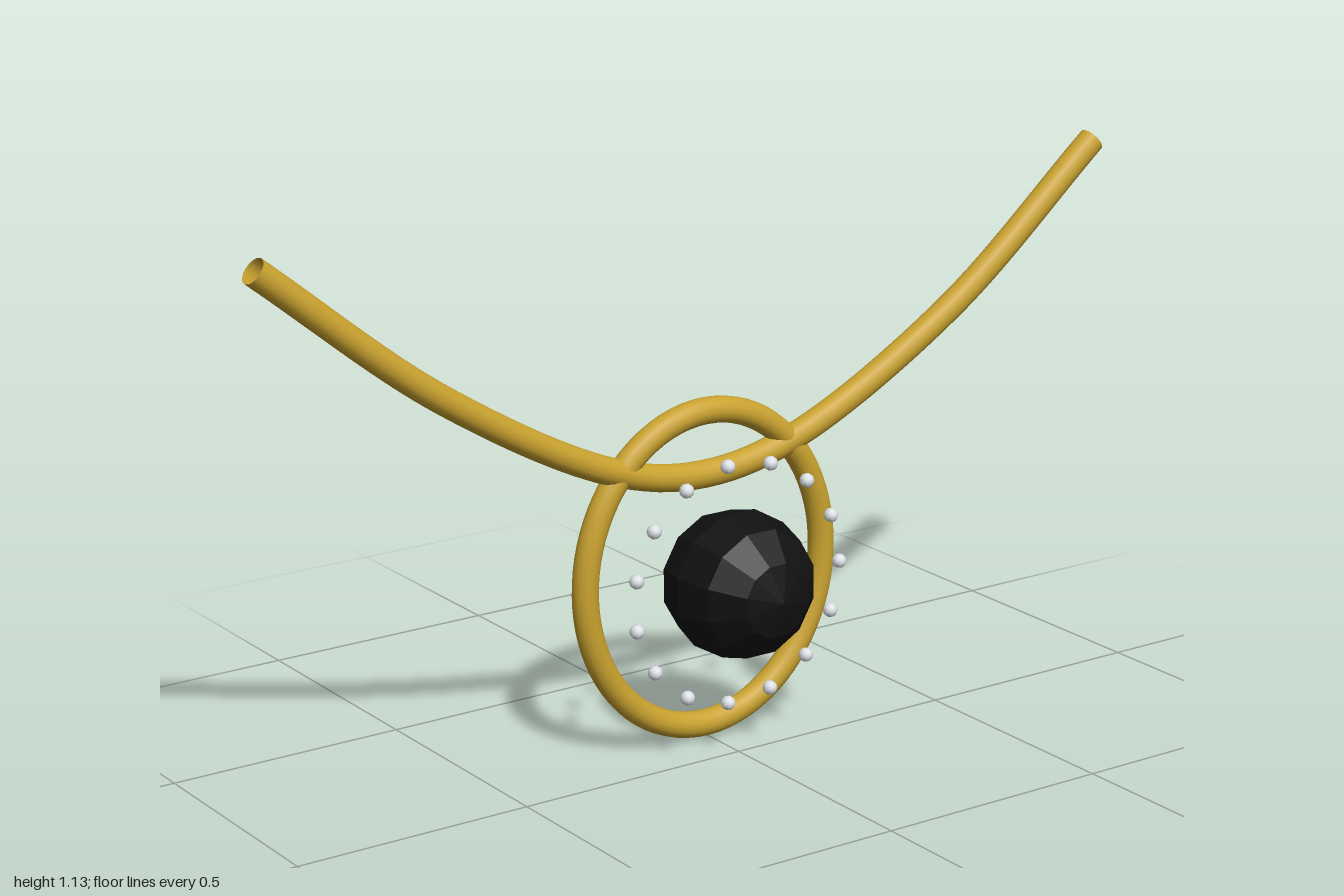
import * as THREE from 'three';

const GOLD = new THREE.MeshStandardMaterial({ color: 0xc9a22f, side: THREE.DoubleSide });
const BLACK = new THREE.MeshStandardMaterial({ color: 0x111111, flatShading: true });
const PEARL = new THREE.MeshStandardMaterial({ color: 0xdfe3e8 });

const CENTRE_Y = 0.355;

function add(parent, name, geometry, material) {
  const mesh = new THREE.Mesh(geometry, material);
  mesh.name = name;
  parent.add(mesh);
  return mesh;
}

// Closed oval path that the pendant frame follows
class Oval extends THREE.Curve {
  getPoint(t, target = new THREE.Vector3()) {
    const a = t * Math.PI * 2;
    return target.set(0.286 * Math.cos(a), 0.328 * Math.sin(a), 0);
  }
}

export function createModel() {
  const model = new THREE.Group();
  model.name = 'necklace';

  // Neck band: half a path mirrored across x, with open ends
  const half = [[0.982, 1.107, -0.115], [0.6, 0.805, -0.104], [0.21, 0.592, -0.113]];
  const path = [
    ...half.map(([x, y, z]) => new THREE.Vector3(-x, y, z)),
    new THREE.Vector3(0, 0.552, -0.118),
    ...half.reverse().map(([x, y, z]) => new THREE.Vector3(x, y, z)),
  ];
  add(model, 'neckBand', new THREE.TubeGeometry(new THREE.CatmullRomCurve3(path), 80, 0.028, 16), GOLD);

  // Oval pendant frame behind the stone
  const frame = add(model, 'pendantFrame', new THREE.TubeGeometry(new Oval(), 80, 0.027, 16, true), GOLD);
  frame.position.set(0, CENTRE_Y, -0.115);

  // Faceted stone with its poles at front and back
  const stone = new THREE.SphereGeometry(0.152, 12, 6);
  stone.rotateY(Math.PI / 12).rotateX(Math.PI / 2);
  add(model, 'stone', stone, BLACK).position.y = CENTRE_Y;

  // Circle of small pearls around the stone
  const pearls = new THREE.Group();
  pearls.name = 'pearls';
  const pearl = new THREE.SphereGeometry(0.015, 10, 6).rotateX(Math.PI / 2);
  for (let i = 0; i < 15; i++) {
    const a = (i / 15) * Math.PI * 2;
    add(pearls, 'pearl', pearl, PEARL).position.set(0.247 * Math.cos(a), CENTRE_Y + 0.247 * Math.sin(a), 0);
  }
  model.add(pearls);

  return model;
}
